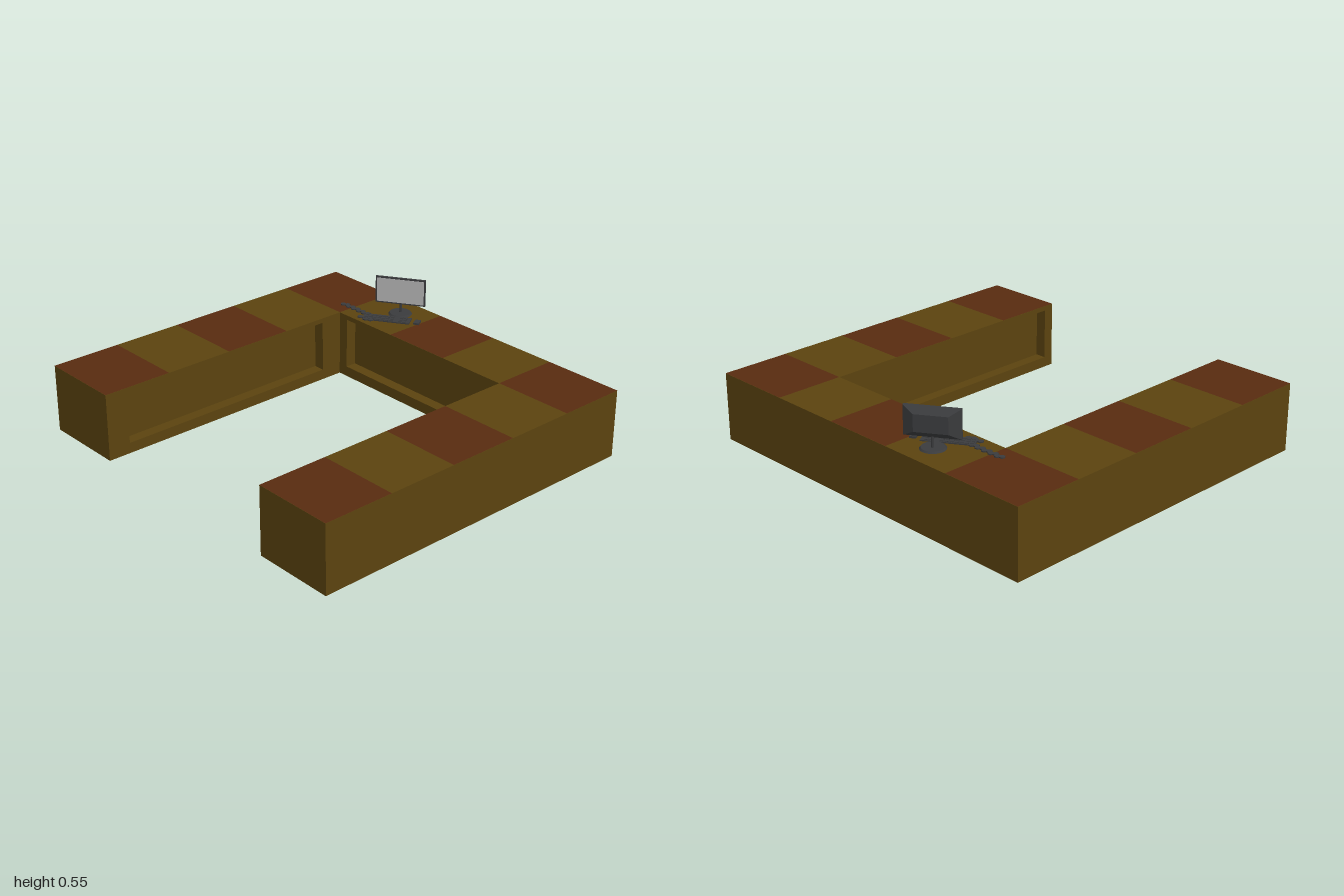
import * as THREE from 'three';

const H = 0.35, X = 0.92, D = 0.06; // counter height, half width, recess depth
const IX = 0.56, ZB = -0.565, ZF = 0.575; // inner edges of the U

const mat = (name, color) => {
  const m = new THREE.MeshStandardMaterial({ color });
  m.name = name;
  return m;
};

export function createModel() {
  const brown = mat('brown wood', 0x5b430f);
  const red = mat('red wood', 0x582b10);
  const dark = mat('dark plastic', 0x3a3b3d);
  const grey = mat('screen grey', 0xb2b2b2);

  const root = new THREE.Group();
  root.name = 'counterWithComputer';

  const add = (parent, name, geo, material, x = 0, y = 0, z = 0, ry = 0) => {
    const m = new THREE.Mesh(geo, material);
    m.name = name;
    m.position.set(x, y, z);
    m.rotation.y = ry;
    parent.add(m);
    return m;
  };
  const block = (name, x0, x1, z0, z1) => add(root, name,
    new THREE.BoxGeometry(x1 - x0, H, z1 - z0), brown, (x0 + x1) / 2, H / 2, (z0 + z1) / 2);

  // Solid bodies behind the recessed panels
  block('backArm', -X, X, -1, ZB - D);
  block('frontArm', -X, X, ZF + D, 1);
  block('spine', IX + D, X, ZB - D, ZF + D);
  block('backCorner', IX, IX + D, ZB - D, ZB);
  block('frontCorner', IX, IX + D, ZF, ZF + D);

  // Raised frames on the inner faces
  const frame = (name, w, margin, x, z, ry) => {
    const s = new THREE.Shape();
    s.moveTo(-w / 2, 0).lineTo(w / 2, 0).lineTo(w / 2, H).lineTo(-w / 2, H).closePath();
    const a = w / 2 - margin, lo = 0.055, hi = H - 0.025;
    const hole = new THREE.Path();
    hole.moveTo(-a, lo).lineTo(-a, hi).lineTo(a, hi).lineTo(a, lo).closePath();
    s.holes.push(hole);
    add(root, name, new THREE.ExtrudeGeometry(s, { depth: D, bevelEnabled: false }), brown, x, 0, z, ry);
  };
  const armMid = (IX - X) / 2;
  frame('backArmFrame', X + IX, 0.12, armMid, ZB - D, 0);
  frame('frontArmFrame', X + IX, 0.055, armMid, ZF + D, Math.PI);
  frame('spineFrame', ZF - ZB, 0.055, IX + D, (ZF + ZB) / 2, -Math.PI / 2);

  // Alternating coloured squares on the worktop
  const tile = (i, x0, x1, z0, z1) => {
    const g = new THREE.PlaneGeometry(x1 - x0, z1 - z0).rotateX(-Math.PI / 2);
    add(root, 'topTile', g, i % 2 ? brown : red, (x0 + x1) / 2, H + 0.001, (z0 + z1) / 2);
  };
  const xs = [-X, -0.55, -0.18, 0.195, IX, X];
  const zs = [-1, ZB, -0.18, 0.195, ZF, 1];
  for (let i = 0; i < 5; i++) {
    tile(i, xs[i], xs[i + 1], -1, ZB);
    tile(i, xs[i], xs[i + 1], ZF, 1);
    if (i > 0 && i < 4) tile(i, IX, X, zs[i], zs[i + 1]);
  }

  // Monitor: bezel, screen and tapered back on a round foot
  const turn = -1.0;
  const monitor = new THREE.Group();
  monitor.name = 'monitor';
  monitor.position.set(0.785, H, -0.343);
  monitor.rotation.y = turn;
  root.add(monitor);
  add(monitor, 'bezel', new THREE.BoxGeometry(0.265, 0.145, 0.012), dark, 0, 0.128, 0);
  add(monitor, 'screen', new THREE.BoxGeometry(0.25, 0.13, 0.002), grey, 0, 0.128, 0.007);
  const back = new THREE.BoxGeometry(0.265, 0.145, 0.03);
  const p = back.attributes.position;
  for (let i = 0; i < p.count; i++) {
    if (p.getZ(i) < 0) p.setXY(i, p.getX(i) * 0.6, p.getY(i) * 0.58);
  }
  back.computeVertexNormals();
  add(monitor, 'taperedBack', back, dark, 0, 0.128, -0.021);
  add(monitor, 'neck', new THREE.CylinderGeometry(0.007, 0.007, 0.06, 12), dark, 0, 0.032, -0.008);
  add(monitor, 'foot', new THREE.CylinderGeometry(0.055, 0.062, 0.008, 24), dark, 0, 0.005, 0);

  // Keyboard with rows of low keys
  const keyboard = new THREE.Group();
  keyboard.name = 'keyboard';
  keyboard.position.set(0.68, H, -0.333);
  keyboard.rotation.y = turn;
  root.add(keyboard);
  add(keyboard, 'keyboardBase', new THREE.BoxGeometry(0.25, 0.006, 0.072), dark, 0, 0.004, 0);
  for (let r = 0; r < 3; r++) {
    for (let c = 0; c < 9; c++) {
      add(keyboard, 'key', new THREE.BoxGeometry(0.018, 0.004, 0.016), dark,
        -0.108 + c * 0.0225 + (c > 6 ? 0.025 : 0), 0.008, -0.022 + r * 0.022);
    }
  }
  add(root, 'mouse', new THREE.BoxGeometry(0.045, 0.01, 0.03), dark, 0.762, H + 0.006, -0.193, 0.5);

  // Knobbly cords trailing over the worktop
  const bead = new THREE.CylinderGeometry(0.015, 0.015, 0.006, 6);
  for (let i = 0; i < 13; i++) {
    add(root, 'cordLink', bead, dark, 0.645 + (i % 2 ? 0.005 : -0.005), H + 0.005, -0.625 + i * 0.02);
  }
  for (let i = 0; i < 4; i++) {
    add(root, 'sideLink', bead, dark, 0.595 + (i % 2) * 0.012, H + 0.005, -0.445 + i * 0.022);
  }
  return root;
}
